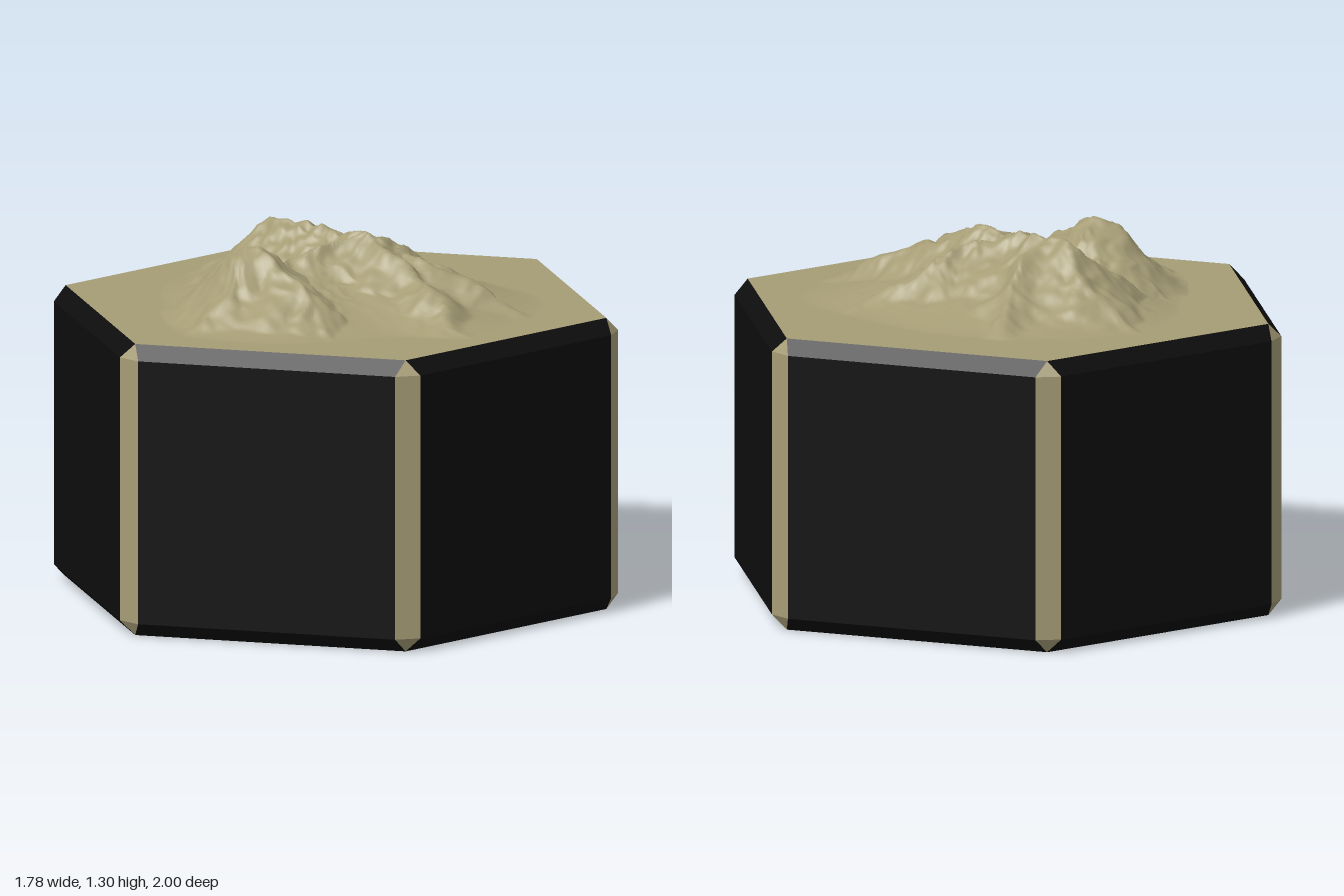
import * as THREE from 'three';

const TOP = 1.03, BEVEL = 0.05;

// Convex faces (lists of corners) turned outward from the block's middle
function facesGeometry(faces) {
  const pos = [], mid = new THREE.Vector3(0, TOP / 2, 0);
  for (const f of faces) {
    for (let i = 1; i < f.length - 1; i++) {
      const [a, b, c] = [f[0], f[i], f[i + 1]];
      const n = b.clone().sub(a).cross(c.clone().sub(a));
      const out = n.dot(a.clone().sub(mid)) > 0;
      for (const p of out ? [a, b, c] : [a, c, b]) pos.push(p.x, p.y, p.z);
    }
  }
  const g = new THREE.BufferGeometry();
  g.setAttribute('position', new THREE.Float32BufferAttribute(pos, 3));
  g.computeVertexNormals();
  return g;
}

// Point near hexagon corner i: r outward, t sideways
function corner(i, r, t, y) {
  const a = Math.PI / 2 + i * Math.PI / 3, c = Math.cos(a), s = Math.sin(a);
  return new THREE.Vector3(c * r - s * t, y, s * r + c * t);
}

// Smooth value noise
function hash(i, j) {
  const v = Math.sin(i * 127.1 + j * 311.7) * 43758.5453;
  return v - Math.floor(v);
}
function noise(x, z) {
  const i = Math.floor(x), j = Math.floor(z);
  const u = THREE.MathUtils.smoothstep(x - i, 0, 1), v = THREE.MathUtils.smoothstep(z - j, 0, 1);
  const lerp = THREE.MathUtils.lerp;
  return lerp(lerp(hash(i, j), hash(i + 1, j), u), lerp(hash(i, j + 1), hash(i + 1, j + 1), u), v) * 2 - 1;
}

// Ridge lines as [x, z, height above the block]
const RIDGES = [
  [[-0.72, 0.02, 0], [-0.5, 0, 0.12], [-0.4, 0, 0.18], [-0.27, 0.03, 0.25], [-0.2, 0, 0.262], [-0.05, -0.03, 0.25],
    [0.1, -0.02, 0.25], [0.22, -0.02, 0.215], [0.4, 0, 0.14], [0.5, 0.04, 0.125], [0.62, 0.07, 0.07], [0.78, 0.08, 0]],
  [[0.1, -0.02, 0.25], [0.03, 0.13, 0.2], [0, 0.25, 0.17], [-0.03, 0.36, 0.262], [0.02, 0.55, 0.13], [0.06, 0.78, 0]],
  [[-0.42, 0.44, 0], [-0.2, 0.38, 0.13], [-0.03, 0.36, 0.262], [0.12, 0.37, 0.2], [0.28, 0.4, 0.12], [0.48, 0.46, 0]],
  [[0.1, -0.02, 0.25], [0.3, -0.15, 0.17], [0.5, -0.23, 0.1], [0.7, -0.33, 0]],
  [[-0.05, -0.03, 0.25], [0.08, -0.2, 0.19], [0.14, -0.4, 0.09], [0.2, -0.6, 0]],
  [[-0.2, 0, 0.26], [-0.3, -0.2, 0.15], [-0.45, -0.38, 0.05], [-0.52, -0.46, 0]],
  [[-0.2, 0, 0.26], [-0.36, 0.14, 0.13], [-0.56, 0.3, 0]],
];

function ridgeHeight(x, z) {
  let best = 0;
  for (const line of RIDGES) {
    for (let i = 0; i < line.length - 1; i++) {
      const [ax, az, ah] = line[i], [bx, bz, bh] = line[i + 1];
      const dx = bx - ax, dz = bz - az;
      const t = THREE.MathUtils.clamp(((x - ax) * dx + (z - az) * dz) / (dx * dx + dz * dz), 0, 1);
      const d = Math.hypot(x - ax - t * dx, z - az - t * dz);
      best = Math.max(best, ah + (bh - ah) * t - 0.75 * d);
    }
  }
  return best;
}

// Outline of the mountain's foot, [x, z] around its centre
const FOOT = [[0.77, 0.08], [0.56, 0.26], [0.48, 0.42], [0.38, 0.62], [0.05, 0.78], [-0.2, 0.65], [-0.38, 0.48],
  [-0.58, 0.3], [-0.7, 0.02], [-0.58, -0.3], [-0.3, -0.53], [0.1, -0.6], [0.45, -0.57], [0.66, -0.35]];

function mountainGeometry() {
  const foot = new THREE.CatmullRomCurve3(FOOT.map(([x, z]) => new THREE.Vector3(x, 0, z)), true);
  const around = 220, rings = 90, cz = 0.08, pos = [], index = [];
  for (let r = 0; r <= rings; r++) {
    const s = r / rings;
    for (let a = 0; a < around; a++) {
      const p = foot.getPoint(a / around);
      const x = p.x * s, z = cz + (p.z - cz) * s;
      const wx = x + 0.03 * noise(x * 9 + 5, z * 9) + 0.01 * noise(x * 28, z * 28);
      const wz = z + 0.03 * noise(x * 9, z * 9 + 8) + 0.01 * noise(x * 28 + 3, z * 28);
      // Sharp ridges over a soft cone, with crags growing with height
      let h = Math.max(ridgeHeight(wx, wz), 0.17 * Math.pow(1 - s, 1.1));
      const crag = 0.5 - Math.abs(noise(wx * 11, wz * 11)) + 0.5 * (0.5 - Math.abs(noise(wx * 24, wz * 24)));
      h += 0.1 * h * crag;
      h *= 1 - Math.pow(s, 8);
      pos.push(x, TOP - 0.001 + Math.min(h, 0.268), z);
      if (r < rings) {
        const b = (a + 1) % around, o = r * around, n = o + around;
        if (r > 0) index.push(o + a, o + b, n + a);
        index.push(o + b, n + b, n + a);
      }
    }
  }
  const g = new THREE.BufferGeometry();
  g.setAttribute('position', new THREE.Float32BufferAttribute(pos, 3));
  g.setIndex(index);
  g.computeVertexNormals();
  // The middle ring is a single point, so it shares one upward normal
  for (let a = 0; a < around; a++) g.attributes.normal.setXYZ(a, 0, 1, 0);
  return g;
}

export function createModel() {
  const stone = new THREE.MeshStandardMaterial({ color: 0xa69d76 });
  stone.name = 'sandstone';
  const black = new THREE.MeshStandardMaterial({ color: 0x0d0d0d });
  black.name = 'black';

  const panels = [], bevels = [], strips = [], topFace = [], bottomFace = [];
  const tip = 0.97, half = 0.045, low = BEVEL, high = TOP - BEVEL;
  for (let i = 0; i < 6; i++) {
    const j = i + 1;
    const edge = (y) => [corner(i, 1, half, y), corner(j, 1, -half, y)];
    const [a, b] = edge(low), [c, d] = edge(high);
    panels.push([a, b, d, c]);
    bevels.push([c, d, corner(j, tip, 0, TOP), corner(i, tip, 0, TOP)]);
    bevels.push([a, b, corner(j, tip, 0, 0), corner(i, tip, 0, 0)]);
    // Corner strip, pointed at both ends
    strips.push([corner(i, 1, -half, low), a, c, corner(i, 1, -half, high)]);
    strips.push([corner(i, 1, -half, high), c, corner(i, tip, 0, TOP)]);
    strips.push([corner(i, 1, -half, low), a, corner(i, tip, 0, 0)]);
    topFace.push(corner(i, tip, 0, TOP));
    bottomFace.push(corner(i, tip, 0, 0));
  }

  const group = new THREE.Group();
  group.name = 'mountainOnHexagonBlock';
  const add = (name, geometry, material) => {
    const m = new THREE.Mesh(geometry, material);
    m.name = name;
    group.add(m);
  };
  add('sidePanels', facesGeometry(panels), black);
  add('edgeBevels', facesGeometry(bevels), black);
  add('bottomFace', facesGeometry([bottomFace]), black);
  add('cornerStrips', facesGeometry(strips), stone);
  add('topFace', facesGeometry([topFace]), stone);
  add('mountain', mountainGeometry(), stone);
  return group;
}
